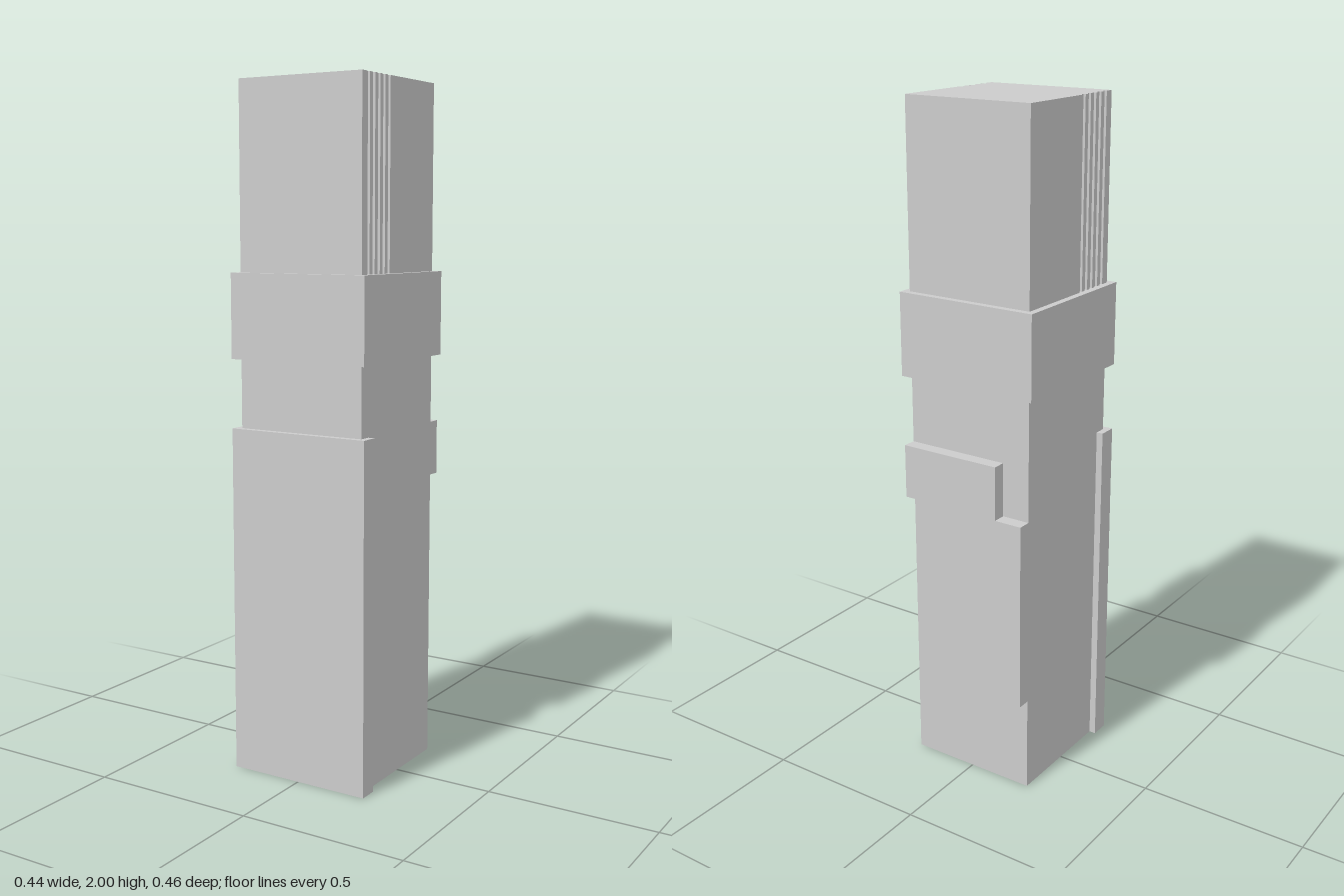
import * as THREE from 'three';

const material = new THREE.MeshStandardMaterial({ color: 0xcccccc, flatShading: true });

// Box given by its extents along each axis, symmetric in x
function block(name, halfWidth, [y0, y1], [z0, z1]) {
  const mesh = new THREE.Mesh(new THREE.BoxGeometry(2 * halfWidth, y1 - y0, z1 - z0), material);
  mesh.position.set(0, (y0 + y1) / 2, (z0 + z1) / 2);
  mesh.name = name;
  return mesh;
}

export function createModel() {
  const model = new THREE.Group();
  model.name = 'tower';

  // Main shaft, projecting collar and front slab
  model.add(block('lowerShaft', 0.2, [0, 1.22], [-0.19, 0.21]));
  model.add(block('collar', 0.22, [1.22, 1.465], [-0.21, 0.23]));
  model.add(block('frontSlab', 0.22, [0, 1.02], [0.174, 0.23]));

  // Upper shaft: solid rear block, recessed core and a stack of fins
  const upper = new THREE.Group();
  upper.name = 'upperShaft';
  const height = [1.465, 2];
  upper.add(block('rearBlock', 0.2, height, [-0.19, 0.06]));
  upper.add(block('finCore', 0.193, height, [0.06, 0.184]));
  for (let i = 0; i < 4; i++) {
    const z = 0.074 + i * 0.0273;
    upper.add(block('fin', 0.2, height, [z, z + 0.0135]));
  }
  upper.add(block('frontFin', 0.2, height, [0.184, 0.21]));
  model.add(upper);

  // Stepped relief panel on the back
  const outline = [
    [0.2, 1.02], [-0.115, 1.02], [-0.115, 0.86], [-0.2, 0.86], [-0.2, 0.29],
    [-0.115, 0.29], [-0.115, 0.57], [0.115, 0.57], [0.115, 0.86], [0.2, 0.86],
  ];
  const shape = new THREE.Shape(outline.map(([x, y]) => new THREE.Vector2(x, y)));
  const panel = new THREE.Mesh(
    new THREE.ExtrudeGeometry(shape, { depth: 0.04, bevelEnabled: false }), material);
  panel.position.z = -0.23;
  panel.name = 'backPanel';
  model.add(panel);

  return model;
}
